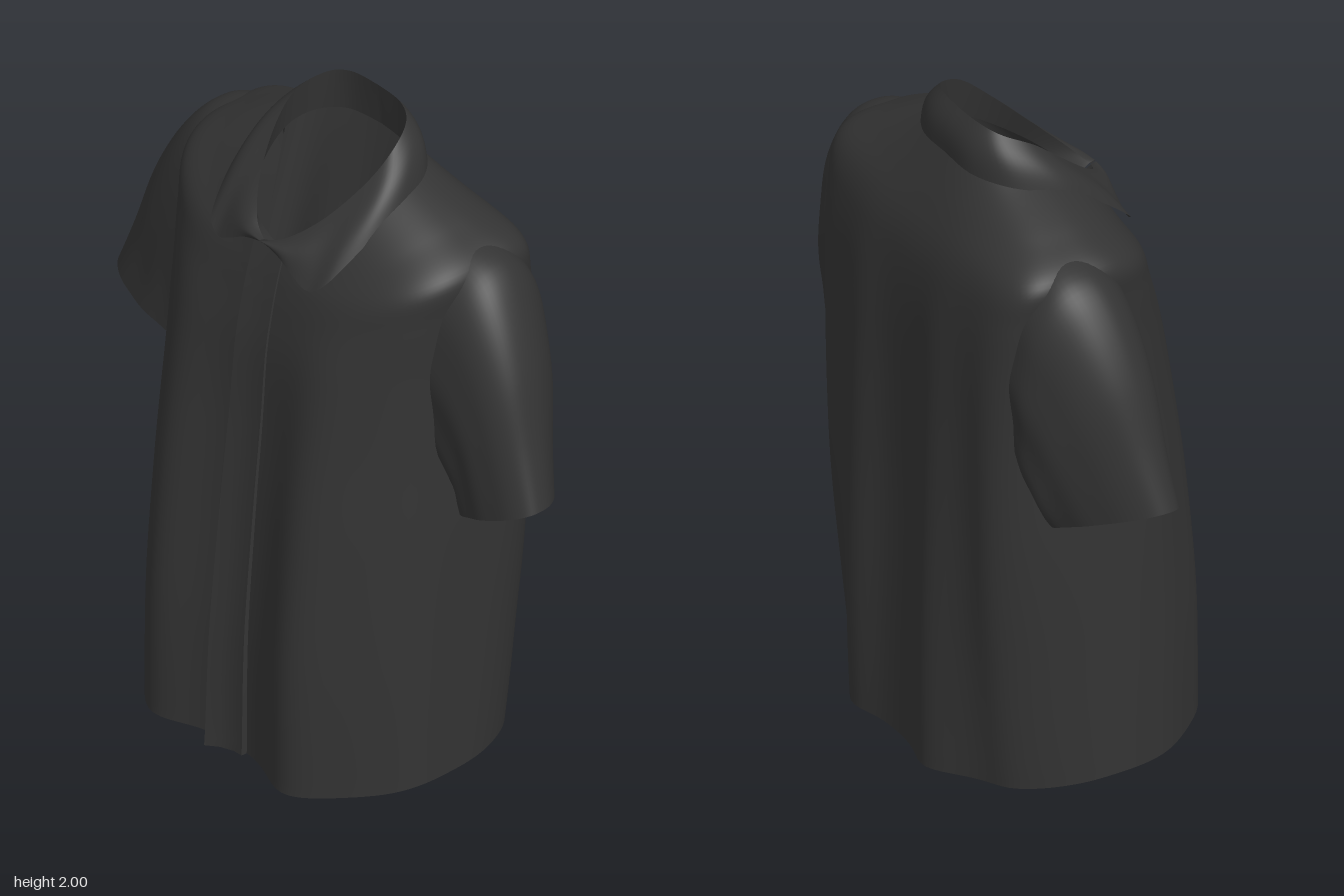
import * as THREE from 'three';
import { toCreasedNormals } from 'three/addons/utils/BufferGeometryUtils.js';

// Smooth interpolation through rows of numbers, t in 0..1
function spline(rows, t) {
  const f = t * (rows.length - 1);
  const i = Math.min(Math.floor(f), rows.length - 2), k = f - i;
  const at = (j) => rows[Math.max(0, Math.min(rows.length - 1, j))];
  const [a, b, c, d] = [at(i - 1), at(i), at(i + 1), at(i + 2)];
  return b.map((p, n) => p + 0.5 * k * (c[n] - a[n]
    + k * (2 * a[n] - 5 * p + 4 * c[n] - d[n] + k * (3 * (p - c[n]) + d[n] - a[n]))));
}

// Surface from fn(u, v) -> [x, y, z]; closed wraps around u
function surface(fn, nu, nv, closed = false) {
  const pos = [], idx = [], cols = closed ? nu : nu + 1;
  for (let j = 0; j <= nv; j++)
    for (let i = 0; i < cols; i++) pos.push(...fn(i / nu, j / nv));
  for (let j = 0; j < nv; j++)
    for (let i = 0; i < nu; i++) {
      const a = j * cols + i, b = j * cols + (i + 1) % cols;
      idx.push(a, b, b + cols, a, b + cols, a + cols);
    }
  const g = new THREE.BufferGeometry();
  g.setAttribute('position', new THREE.Float32BufferAttribute(pos, 3));
  g.setIndex(idx);
  g.computeVertexNormals();
  return g;
}

// Torso rings: half width, side z, side y, front y, front z, back y, back z,
// front squareness, back squareness, fold depth
const TORSO = [
  [0.52, 0, 0.015, 0, 0.355, 0.005, -0.388, 2.9, 2.4, 1],
  [0.52, 0, 0.4, 0.4, 0.35, 0.4, -0.383, 2.9, 3.3, 1],
  [0.52, -0.02, 0.8, 0.8, 0.322, 0.8, -0.375, 2.9, 4.8, 0.9],
  [0.515, -0.05, 1.12, 1.1, 0.296, 1.1, -0.375, 2.9, 5.6, 0.7],
  [0.52, -0.09, 1.38, 1.33, 0.28, 1.36, -0.375, 2.9, 5.6, 0.4],
  [0.535, -0.1, 1.57, 1.47, 0.258, 1.53, -0.365, 2.8, 5.2, 0.15],
  [0.535, -0.1, 1.695, 1.54, 0.243, 1.64, -0.342, 2.6, 4.4, 0.05],
  [0.415, -0.1, 1.773, 1.585, 0.232, 1.745, -0.292, 2.3, 2.9, 0],
  [0.25, -0.09, 1.845, 1.655, 0.212, 1.875, -0.215, 2.1, 2.1, 0],
];
const bump = (x, centre, width) => Math.exp(-(((Math.abs(x) - centre) / width) ** 2));

// Point on the torso at angle a (0 = front, towards +x) and height t
function torso(a, t) {
  const [hw, zS, yS, yF, zF, yB, zB, nF, nB, fold] = spline(TORSO, t);
  const s = Math.sin(a), c = Math.cos(a), front = c > 0;
  const e = front ? nF : nB;
  const r = (Math.abs(s) ** e + Math.abs(c) ** e) ** (-1 / e);
  const sx = s * r, cz = Math.abs(c * r), x = hw * sx;
  const ease = Math.min(1, cz * 2);
  const z = front
    ? zS + (zF - zS) * cz + 0.085 * fold * ease * bump(x, 0.28, 0.13)
    : zS + (zB - zS) * cz - fold * ease * (0.046 * bump(x, 0.2, 0.09) + 0.02 * bump(x, 0.44, 0.06));
  return [x, yS * sx * sx + (front ? yF : yB) * (1 - sx * sx), z];
}

// Sleeve rings: top x, y, z, underside x, y, z, half depth, narrowing towards the top
const SLEEVE = [
  [0.46, 1.742, -0.12, 0.48, 1.06, -0.12, 0.195, 0],
  [0.57, 1.7, -0.12, 0.51, 1.0, -0.12, 0.195, 0.05],
  [0.655, 1.6, -0.1, 0.53, 0.97, -0.12, 0.192, 0.15],
  [0.735, 1.44, -0.075, 0.54, 0.95, -0.12, 0.185, 0.25],
  [0.802, 1.23, -0.045, 0.54, 0.93, -0.115, 0.175, 0.38],
  [0.858, 1.065, -0.02, 0.54, 0.92, -0.11, 0.165, 0.45],
];
function sleeve(side) {
  return (u, v) => {
    const r = spline(SLEEVE, v), a = side * u * Math.PI * 2;
    const c = Math.cos(a), s = Math.sin(a), n = c > 0 ? 2.3 : 3;
    const round = (Math.abs(s) ** n + Math.abs(c) ** n) ** (-1 / n);
    const k = (1 + c * round) / 2;
    const mix = (i) => r[i + 3] + (r[i] - r[i + 3]) * k;
    // soft creases under the arm
    const crease = 0.008 * Math.sin(a * 9) * (1 - k) * (1 - v * 0.5);
    return [side * mix(0), mix(1), mix(2) + r[6] * (1 - r[7] * k) * s * round + crease];
  };
}

// Collar edges, from the centre back to the left front tip
const FOLD = [[0, 2, -0.19], [0.1, 1.998, -0.182], [0.165, 1.98, -0.145], [0.2, 1.94, -0.06],
  [0.188, 1.865, 0.03], [0.135, 1.77, 0.135], [0.065, 1.703, 0.21], [0.004, 1.675, 0.24]];
const LEAF = [[0, 1.865, -0.232], [0.13, 1.86, -0.225], [0.235, 1.85, -0.16], [0.283, 1.815, -0.03],
  [0.277, 1.745, 0.1], [0.238, 1.64, 0.222], [0.185, 1.6, 0.25], [0.125, 1.625, 0.254],
  [0.07, 1.655, 0.252], [0.004, 1.67, 0.248]];
const STAND = [[0, 1.86, -0.205], [0.12, 1.86, -0.185], [0.2, 1.84, -0.12], [0.225, 1.8, -0.03],
  [0.19, 1.73, 0.09], [0.11, 1.68, 0.17], [0.004, 1.65, 0.2]];
function edge(half, u) {
  const p = spline(half, Math.abs(u * 2 - 1));
  return [u < 0.5 ? -p[0] : p[0], p[1], p[2]];
}
function loft(from, to, bulge) {
  return (u, v) => {
    const a = edge(from, u), b = edge(to, u);
    const p = a.map((q, i) => q + (b[i] - q) * v);
    const h = bulge * Math.sin(Math.PI * v), l = Math.hypot(p[0], p[2]) || 1;
    return [p[0] + h * p[0] / l, p[1] + h * 0.5, p[2] + h * p[2] / l];
  };
}

// Inner lining, hanging forward from the back of the neck
function lining(u, v) {
  const [x, y, z] = torso(Math.PI * (1.5 - u), 0.99);
  const low = [x * 1.2, 0.95 + 0.03 * Math.sin(u * 19), 0.06 + 0.015 * Math.sin(u * 23)];
  return [x, y, z].map((p, i) => p + (low[i] - p) * v);
}

// Placket: columns of [x, lift], with the right-hand edge flaring out at the hem
const PLACKET = [[-0.058, 0], [-0.056, 1], [-0.02, 0.6], [0.02, 0.35], [0.052, 0.3], [0.054, 0]];
function placket(u, v) {
  const [x, rise] = PLACKET[Math.round(u * 5)];
  const t = v * 0.985, hw = spline(TORSO, t)[0];
  const p = torso(Math.atan(x / hw), t);
  const lift = 0.016 + 0.045 * (1 - v) ** 3;
  return [x, p[1], p[2] + (rise ? rise * lift : -0.004)];
}

export function createModel() {
  const shirt = new THREE.Group();
  shirt.name = 'shirt';
  const cloth = new THREE.MeshStandardMaterial({ color: 0x333333, side: THREE.DoubleSide });
  cloth.name = 'charcoal cloth';
  const add = (name, geometry) => {
    const mesh = new THREE.Mesh(geometry, cloth);
    mesh.name = name;
    shirt.add(mesh);
  };

  const turn = Math.PI * 2;
  add('torso', surface((u, v) => torso(u * turn, v), 128, 72, true));
  // closed underside
  add('hemBase', surface((u, v) => {
    const [x, y, z] = torso(u * turn, 0);
    return [x * v, y, z * v];
  }, 128, 4, true));

  add('leftSleeve', surface(sleeve(1), 72, 30, true));
  add('rightSleeve', surface(sleeve(-1), 72, 30, true));

  add('collarLeaf', surface(loft(FOLD, LEAF, 0.014), 96, 10));
  add('collarStand', surface(loft(STAND, FOLD, 0), 96, 6));
  add('neckLining', surface(lining, 40, 12));
  add('placket', toCreasedNormals(surface(placket, 5, 60), 0.4));
  return shirt;
}
